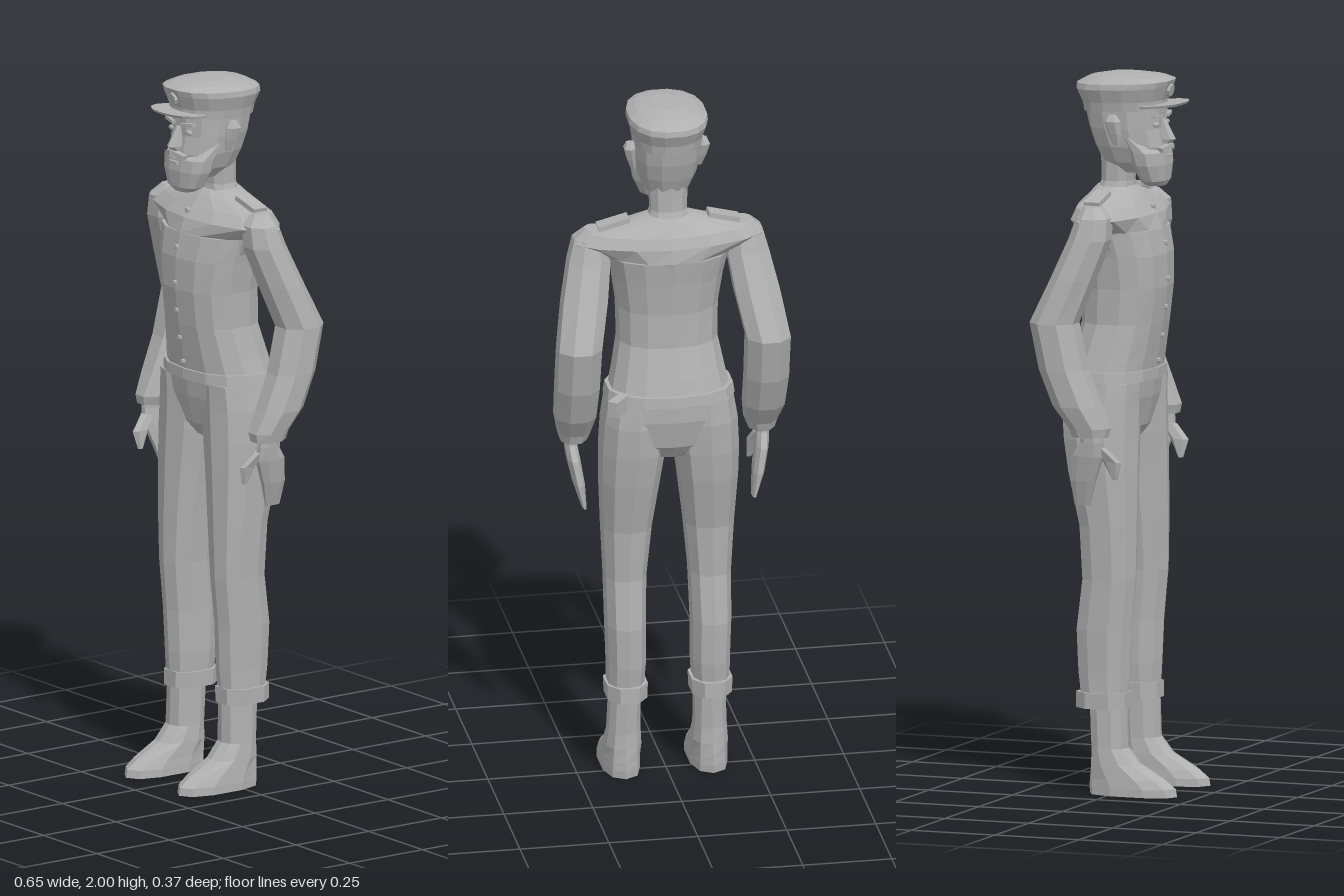
import * as THREE from 'three';

const clay = new THREE.MeshStandardMaterial({ color: 0xb0b0b0, flatShading: true });
clay.name = 'clay grey';

// Closed loft through rings [y, x0, x1, z0, z1, tilt], listed from bottom to top.
// power 1 gives a diamond section, 2 an ellipse, higher values a rounded box.
function loft(rings, sides = 10, power = 2.4, mirror = false) {
  const pos = [], index = [];
  const bend = c => Math.sign(c) * Math.pow(Math.abs(c), 2 / power);
  for (const [y, a, b, z0, z1, tilt = 0] of rings) {
    const cx = (mirror ? -1 : 1) * (a + b) / 2;
    for (let j = 0; j < sides; j++) {
      const t = (j + 0.5) / sides * Math.PI * 2;
      const z = (z0 + z1) / 2 + bend(Math.sin(t)) * (z1 - z0) / 2;
      pos.push(cx + bend(Math.cos(t)) * (b - a) / 2, y + tilt * z, z);
    }
  }
  const last = rings.length - 1;
  for (let i = 0; i < last; i++) {
    for (let j = 0; j < sides; j++) {
      const k = (j + 1) % sides, p = i * sides, q = p + sides;
      index.push(p + j, q + j, p + k, p + k, q + j, q + k);
    }
  }
  for (let j = 1; j < sides - 1; j++) {
    const q = last * sides;
    index.push(0, j, j + 1, q, q + j + 1, q + j);
  }
  const g = new THREE.BufferGeometry();
  g.setAttribute('position', new THREE.Float32BufferAttribute(pos, 3));
  g.setIndex(index);
  g.computeVertexNormals();
  return g;
}

// Ring that is symmetric about x = 0
const ring = (y, w, z0, z1, tilt = 0) => [y, -w, w, z0, z1, tilt];

export function createModel() {
  const model = new THREE.Group();
  model.name = 'uniformedMan';
  const add = (name, geometry, x = 0, y = 0, z = 0, rx = 0, ry = 0, rz = 0) => {
    const m = new THREE.Mesh(geometry, clay);
    m.name = name;
    m.position.set(x, y, z);
    m.rotation.set(rx, ry, rz);
    model.add(m);
    return m;
  };
  const box = (w, h, d) => new THREE.BoxGeometry(w, h, d);

  // Jacket, with the yoke spreading out over the shoulders
  add('jacket', loft([
    ring(1.16, 0.172, -0.165, 0.075), ring(1.22, 0.158, -0.15, 0.085),
    ring(1.31, 0.14, -0.125, 0.1), ring(1.41, 0.142, -0.125, 0.112),
    ring(1.5, 0.155, -0.135, 0.11), ring(1.57, 0.17, -0.145, 0.095),
  ], 14));
  add('shoulderYoke', loft([
    ring(1.5, 0.15, -0.135, 0.11), ring(1.57, 0.185, -0.147, 0.095),
    ring(1.61, 0.275, -0.14, 0.08), ring(1.64, 0.235, -0.128, 0.055),
    ring(1.665, 0.13, -0.11, 0.035), ring(1.685, 0.06, -0.095, 0.015),
  ], 14, 1.75));
  [[1.63, 0.068], [1.53, 0.106], [1.43, 0.113], [1.35, 0.106], [1.27, 0.096], [1.2, 0.085]].forEach(([y, z]) =>
    add('button', new THREE.CylinderGeometry(0.007, 0.007, 0.012, 6), 0, y, z, Math.PI / 2));

  // Belt and pouch
  add('belt', loft([ring(1.15, 0.183, -0.175, 0.085), ring(1.18, 0.178, -0.172, 0.085)], 14));
  add('pouch', box(0.09, 0.045, 0.03), 0.153, 1.16, -0.14, 0, 0.9);

  // Trouser seat
  add('trouserSeat', loft([
    ring(0.98, 0.07, -0.115, 0.02), ring(1.02, 0.15, -0.145, 0.05),
    ring(1.1, 0.185, -0.163, 0.068), ring(1.16, 0.178, -0.165, 0.075),
  ], 14));

  for (const mirror of [false, true]) {
    const side = mirror ? 'right' : 'left', s = mirror ? -1 : 1;
    const part = (name, rings, sides, power) => add(side + name, loft(rings, sides, power, mirror));

    // Sleeve
    part('Sleeve', [
      [1.015, 0.225, 0.303, -0.065, 0.04], [1.04, 0.215, 0.31, -0.075, 0.045],
      [1.1, 0.205, 0.325, -0.12, 0.02], [1.2, 0.202, 0.33, -0.16, -0.02],
      [1.33, 0.2, 0.33, -0.188, -0.05], [1.45, 0.175, 0.31, -0.135, -0.008],
      [1.56, 0.16, 0.285, -0.09, 0.03], [1.62, 0.165, 0.268, -0.07, 0.03],
      [1.65, 0.18, 0.235, -0.055, 0.0],
    ], 8, 2.1);

    // Hand and thumb
    part('Hand', [
      [0.82, 0.232, 0.245, -0.07, -0.022], [0.89, 0.236, 0.268, -0.076, 0.0],
      [0.96, 0.246, 0.283, -0.066, 0.028], [1.0, 0.252, 0.288, -0.04, 0.025],
      [1.03, 0.25, 0.29, -0.04, 0.02],
    ], 8);
    part('Thumb', [
      [0.895, 0.236, 0.25, 0.045, 0.06], [0.945, 0.236, 0.262, 0.02, 0.074],
      [0.985, 0.248, 0.278, -0.01, 0.035],
    ], 6);

    // Trouser leg and turned-up hem
    part('TrouserLeg', [
      [0.25, 0.07, 0.172, -0.092, 0.04], [0.34, 0.064, 0.172, -0.105, 0.047],
      [0.46, 0.064, 0.176, -0.11, 0.052], [0.6, 0.06, 0.178, -0.092, 0.064],
      [0.75, 0.045, 0.186, -0.1, 0.066], [0.9, 0.025, 0.194, -0.135, 0.066],
      [0.99, 0.012, 0.195, -0.15, 0.066], [1.08, 0.008, 0.19, -0.158, 0.066],
      [1.15, 0.02, 0.178, -0.155, 0.07],
    ], 10);
    part('TrouserHem', [[0.24, 0.06, 0.178, -0.108, 0.047], [0.285, 0.058, 0.18, -0.108, 0.047]], 8);

    // Shoe
    part('Shoe', [
      [0, 0.068, 0.178, -0.07, 0.19], [0.022, 0.068, 0.178, -0.072, 0.186],
      [0.045, 0.07, 0.176, -0.07, 0.155], [0.085, 0.07, 0.173, -0.066, 0.08],
      [0.13, 0.074, 0.168, -0.063, 0.042], [0.25, 0.075, 0.163, -0.07, 0.04],
    ], 10);

    // Shoulder strap
    add(side + 'ShoulderStrap', box(0.09, 0.014, 0.045), s * 0.155, 1.664, -0.035, 0, 0, -s * 0.25);

    // Ear
    part('Ear', [
      [1.808, 0.085, 0.1, -0.012, 0.008], [1.84, 0.085, 0.112, -0.026, 0.012],
      [1.875, 0.085, 0.122, -0.036, 0.012], [1.892, 0.09, 0.114, -0.025, 0.0],
    ], 6);

    // Eye, brow and half of the moustache
    const eye = add(side + 'Eye', new THREE.SphereGeometry(0.013, 8, 6), s * 0.038, 1.862, 0.093);
    eye.scale.set(1.2, 0.6, 0.6);
    add(side + 'Brow', box(0.045, 0.009, 0.014), s * 0.04, 1.885, 0.097, 0, s * 0.2, s * 0.1);
    add(side + 'Moustache', box(0.045, 0.014, 0.018), s * 0.02, 1.797, 0.113, 0, s * 0.3, -s * 0.25);
  }

  // Neck, head and beard
  add('neck', loft([
    ring(1.66, 0.065, -0.095, 0.015), ring(1.7, 0.052, -0.08, 0.01), ring(1.79, 0.056, -0.08, 0.02),
  ], 10));
  add('head', loft([
    ring(1.725, 0.04, -0.03, 0.085), ring(1.755, 0.066, -0.075, 0.1),
    ring(1.8, 0.084, -0.095, 0.108), ring(1.85, 0.092, -0.112, 0.1),
    ring(1.92, 0.096, -0.128, 0.102),
  ], 12));
  add('beard', loft([
    ring(1.69, 0.035, 0.05, 0.105), ring(1.705, 0.062, 0.04, 0.113),
    ring(1.75, 0.083, 0.018, 0.116), ring(1.785, 0.089, 0.01, 0.112),
    ring(1.83, 0.093, 0.012, 0.036),
  ], 12));
  add('nose', loft([
    ring(1.808, 0.016, 0.09, 0.122), ring(1.82, 0.019, 0.09, 0.137), ring(1.875, 0.009, 0.085, 0.106),
  ], 6));
  add('lowerLip', box(0.035, 0.009, 0.012), 0, 1.773, 0.115);

  // Peaked cap
  add('cap', loft([
    ring(1.9, 0.096, -0.13, 0.105, 0.05), ring(1.925, 0.1, -0.135, 0.106, 0.04),
    ring(1.962, 0.112, -0.152, 0.122, 0.05), ring(1.978, 0.11, -0.15, 0.128, 0.05),
    ring(1.992, 0.085, -0.115, 0.1, 0.02), ring(2, 0.045, -0.06, 0.055),
  ], 16, 2.3));
  add('capVisor', loft([
    ring(1.905, 0.09, 0.02, 0.162, 0.08), ring(1.912, 0.092, 0.02, 0.167, 0.08),
  ], 14, 2.2));
  add('capBadge', new THREE.CylinderGeometry(0.018, 0.018, 0.012, 8), 0, 1.956, 0.119, Math.PI / 2 + 0.2);

  return model;
}
